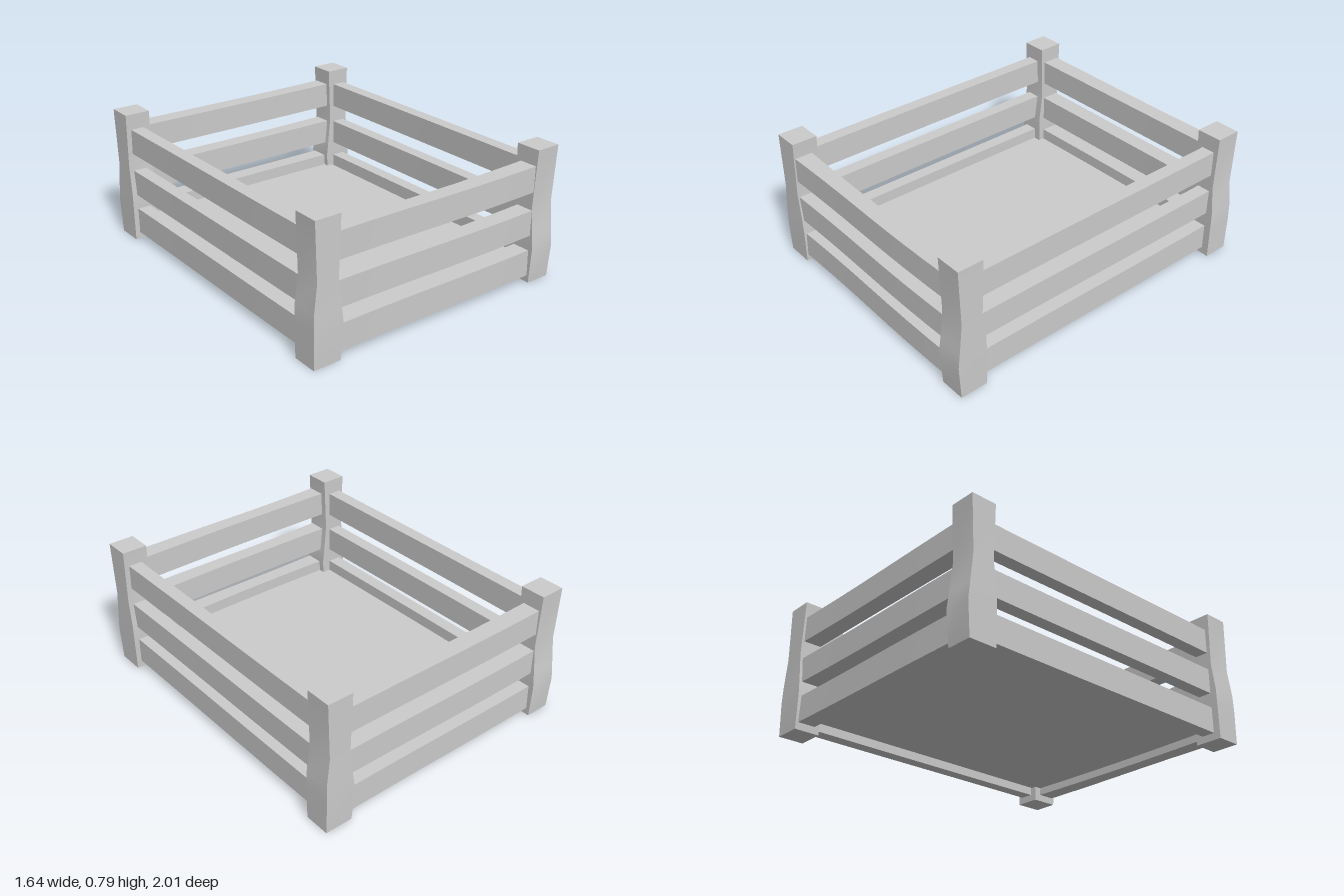
import * as THREE from 'three';
import { toCreasedNormals } from 'three/addons/utils/BufferGeometryUtils.js';

const material = new THREE.MeshStandardMaterial({ color: 0xcccccc });

function addMesh(parent, geometry, name) {
  const mesh = new THREE.Mesh(geometry, material);
  mesh.name = name;
  parent.add(mesh);
  return mesh;
}

// Hewn post: [height, outer/inner extents on the waisted axis, extents on the straight axis]
const POST_SECTIONS = [
  [0, -0.083, 0.08, -0.075, 0.075],
  [0.2, -0.083, 0.094, -0.077, 0.08],
  [0.3, -0.082, 0.083, -0.077, 0.077],
  [0.46, -0.062, 0.066, -0.075, 0.076],
  [0.785, -0.071, 0.08, -0.077, 0.074],
];

function postGeometry() {
  const geometry = new THREE.BoxGeometry(1, 1, 1, 1, POST_SECTIONS.length - 1, 1);
  const p = geometry.attributes.position;
  for (let i = 0; i < p.count; i++) {
    const row = Math.round((p.getY(i) + 0.5) * (POST_SECTIONS.length - 1));
    const [y, x0, x1, z0, z1] = POST_SECTIONS[row];
    p.setXYZ(i, p.getX(i) < 0 ? x0 : x1, y, p.getZ(i) < 0 ? z0 : z1);
  }
  return toCreasedNormals(geometry, 0.7);
}

// Rail along x, its inner face (-z) worn thinner and its outer face gently wavy
function railGeometry(length, height, depth, sag, thin) {
  const geometry = new THREE.BoxGeometry(length, height, depth, 8, 1, 1);
  const p = geometry.attributes.position;
  for (let i = 0; i < p.count; i++) {
    const t = p.getX(i) / length + 0.5;
    const bow = Math.sin(Math.PI * t);
    p.setY(i, p.getY(i) - sag * bow);
    p.setZ(i, p.getZ(i) + (p.getZ(i) < 0 ? thin * bow : -thin * 0.3 * Math.sin(2 * Math.PI * t)));
  }
  return toCreasedNormals(geometry, 0.7);
}

export function createModel() {
  const group = new THREE.Group();
  group.name = 'woodenPen';

  // Four identical corner posts, each turned a quarter from the last
  const posts = [
    ['frontRightPost', -0.74, 0.907],
    ['frontLeftPost', 0.732, 0.907],
    ['backLeftPost', 0.738, -0.91],
    ['backRightPost', -0.735, -0.91],
  ];
  const post = postGeometry();
  posts.forEach(([name, x, z], i) => {
    const mesh = addMesh(group, post, name);
    mesh.position.set(x, 0, z);
    mesh.rotation.y = -i * Math.PI / 2;
  });

  // Three rails on every side: [name, x, z, turn, length, depth, wear]
  const sides = [
    ['FrontRail', 0, 0.92, 0, 1.42, 0.107, 0.014],
    ['BackRail', 0, -0.917, Math.PI, 1.42, 0.107, 0.006],
    ['LeftRail', 0.738, 0, Math.PI / 2, 1.76, 0.08, 0.003],
    ['RightRail', -0.742, 0, -Math.PI / 2, 1.76, 0.08, 0.003],
  ];
  const levels = [['lower', 0.119, 0.154, 0], ['middle', 0.36, 0.15, 0.004], ['upper', 0.617, 0.15, 0.004]];
  for (const [level, y, height, sag] of levels) {
    for (const [name, x, z, turn, length, depth, wear] of sides) {
      // only the front and back rails sag
      const drop = x === 0 ? sag : 0;
      const rail = addMesh(group, railGeometry(length, height, depth, drop, wear), level + name);
      rail.position.set(x, y, z);
      rail.rotation.y = turn;
    }
  }

  // Floor panel, raised above the ground and tucked under the right rail
  const floor = addMesh(group, new THREE.BoxGeometry(1.4, 0.04, 1.79), 'floor');
  floor.position.set(-0.012, 0.107, 0);

  return group;
}
